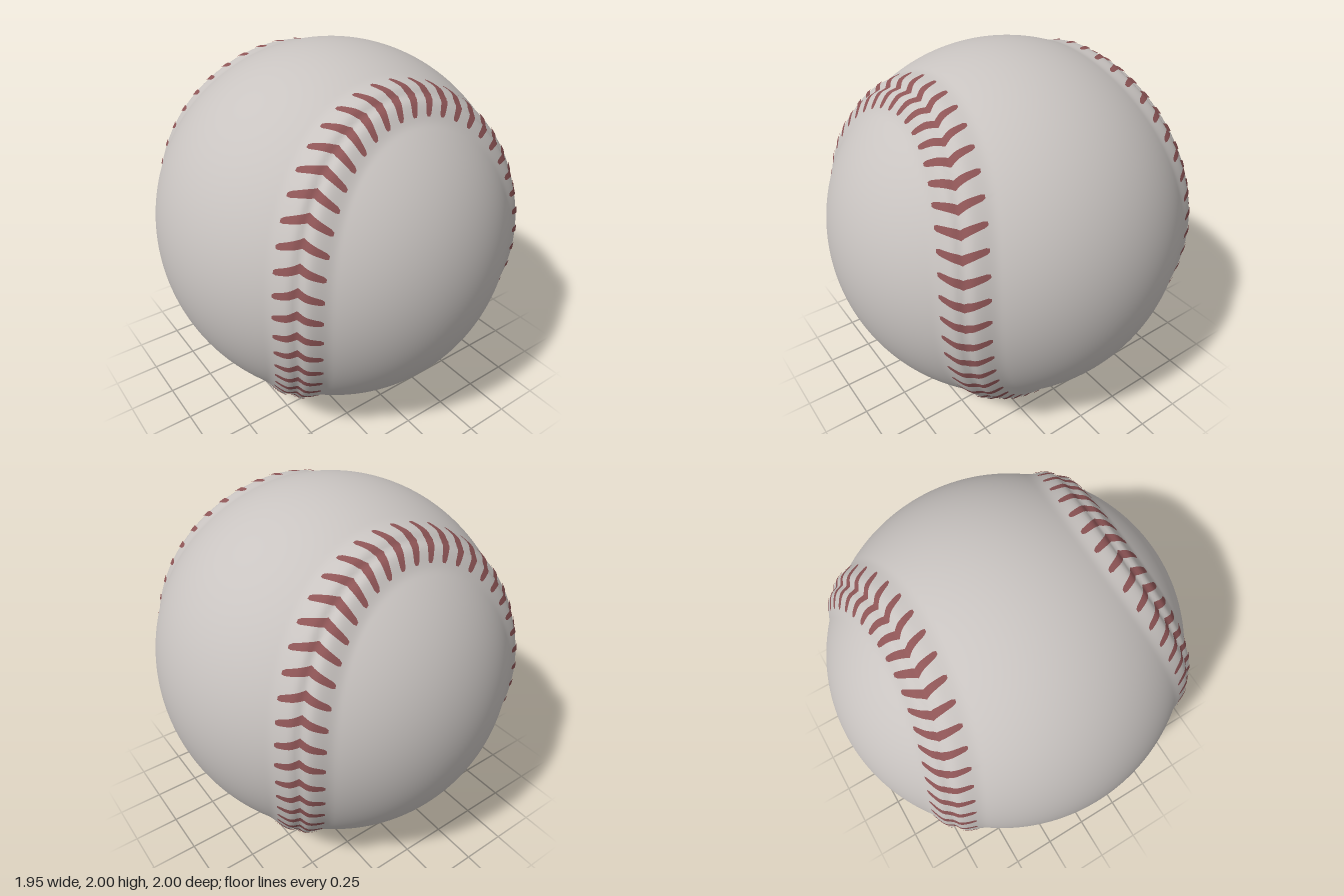
import * as THREE from 'three';
import { mergeVertices } from 'three/addons/utils/BufferGeometryUtils.js';

const RADII = new THREE.Vector3(0.975, 0.998, 0.998);
const A = 0.76, B = 0.24, C = 2 * Math.sqrt(A * B);
const STITCHES = 96, HALF_WIDTH = 0.12, SAMPLES = 480;

// Closed seam line on the unit sphere
function seamPoint(t) {
  return new THREE.Vector3(
    A * Math.sin(t) + B * Math.sin(3 * t),
    C * Math.cos(2 * t),
    A * Math.cos(t) - B * Math.cos(3 * t)
  ).normalize();
}
function seamTangent(t) {
  return seamPoint(t + 1e-3).sub(seamPoint(t - 1e-3)).normalize();
}

const seam = [];
for (let i = 0; i < SAMPLES; i++) {
  const t = (i / SAMPLES) * Math.PI * 2;
  seam.push({ p: seamPoint(t), tan: seamTangent(t) });
}

// Distance from a unit direction to the seam line
function seamDistance(dir) {
  let best = Infinity, near = seam[0];
  for (const s of seam) {
    const d = s.p.distanceToSquared(dir);
    if (d < best) { best = d; near = s; }
  }
  const along = dir.clone().sub(near.p).dot(near.tan);
  return Math.sqrt(Math.max(0, best - along * along));
}

// Leather surface: a raised welt along the seam with a crease in its middle
function surfacePoint(dir, lift = 0) {
  const d = seamDistance(dir);
  const welt = 0.03 * (1 - THREE.MathUtils.smoothstep(d, 0.03, 0.16));
  const crease = 0.012 * Math.exp(-((d / 0.025) ** 2));
  return dir.clone().multiplyScalar(1 + welt - crease + lift).multiply(RADII);
}

// Evenly divided ball made from a rounded-out cube
function makeBall() {
  let geo = new THREE.BoxGeometry(2, 2, 2, 88, 88, 88);
  geo.deleteAttribute('uv');
  geo.deleteAttribute('normal');
  geo.clearGroups();
  geo = mergeVertices(geo, 1e-4);
  const pos = geo.attributes.position;
  const v = new THREE.Vector3();
  for (let i = 0; i < pos.count; i++) {
    v.fromBufferAttribute(pos, i);
    v.set(Math.tan(v.x * Math.PI / 4), Math.tan(v.y * Math.PI / 4), Math.tan(v.z * Math.PI / 4)).normalize();
    const q = surfacePoint(v);
    pos.setXYZ(i, q.x, q.y, q.z);
  }
  geo.computeVertexNormals();
  return geo;
}

// Chevron stitches laid over the welt as thin strips
function makeStitches() {
  const verts = [], index = [];
  const across = 16, along = 2;
  for (let s = 0; s < STITCHES; s++) {
    const t = ((s + 0.5) / STITCHES) * Math.PI * 2;
    const p = seamPoint(t), tan = seamTangent(t);
    const side = new THREE.Vector3().crossVectors(p, tan).normalize();
    const base = verts.length / 3;
    for (let i = 0; i <= across; i++) {
      const k = (i / across) * 2 - 1, e = Math.abs(k);
      const half = e > 0.95 ? 0.008 : 0.023 - 0.009 * e;
      const bend = 0.015 - 0.042 * Math.pow(e, 0.8);
      for (let j = 0; j <= along; j++) {
        const off = bend + half * ((j / along) * 2 - 1);
        const dir = p.clone().addScaledVector(side, k * HALF_WIDTH).addScaledVector(tan, off).normalize();
        verts.push(...surfacePoint(dir, 0.005).toArray());
      }
    }
    const row = along + 1;
    for (let i = 0; i < across; i++) {
      for (let j = 0; j < along; j++) {
        const a = base + i * row + j, b = a + row;
        index.push(a, a + 1, b, b, a + 1, b + 1);
      }
    }
  }
  // tangent x side points inward, so reverse the corners to face out
  for (let i = 0; i < index.length; i += 3) {
    const a = new THREE.Vector3().fromArray(verts, index[i] * 3);
    const b = new THREE.Vector3().fromArray(verts, index[i + 1] * 3);
    const c = new THREE.Vector3().fromArray(verts, index[i + 2] * 3);
    if (b.clone().sub(a).cross(c.clone().sub(a)).dot(a) < 0) {
      [index[i + 1], index[i + 2]] = [index[i + 2], index[i + 1]];
    }
  }
  const geo = new THREE.BufferGeometry();
  geo.setAttribute('position', new THREE.Float32BufferAttribute(verts, 3));
  geo.setIndex(index);
  geo.computeVertexNormals();
  return geo;
}

export function createModel() {
  const leather = new THREE.MeshStandardMaterial({ color: 0xc9c4c1 });
  leather.name = 'white leather';
  const thread = new THREE.MeshStandardMaterial({ color: 0x8e5556 });
  thread.name = 'red thread';

  const group = new THREE.Group();
  group.name = 'baseball';
  const ball = new THREE.Mesh(makeBall(), leather);
  ball.name = 'leatherCover';
  const stitches = new THREE.Mesh(makeStitches(), thread);
  stitches.name = 'seamStitches';
  for (const m of [ball, stitches]) {
    m.position.y = 1;
    group.add(m);
  }
  return group;
}
